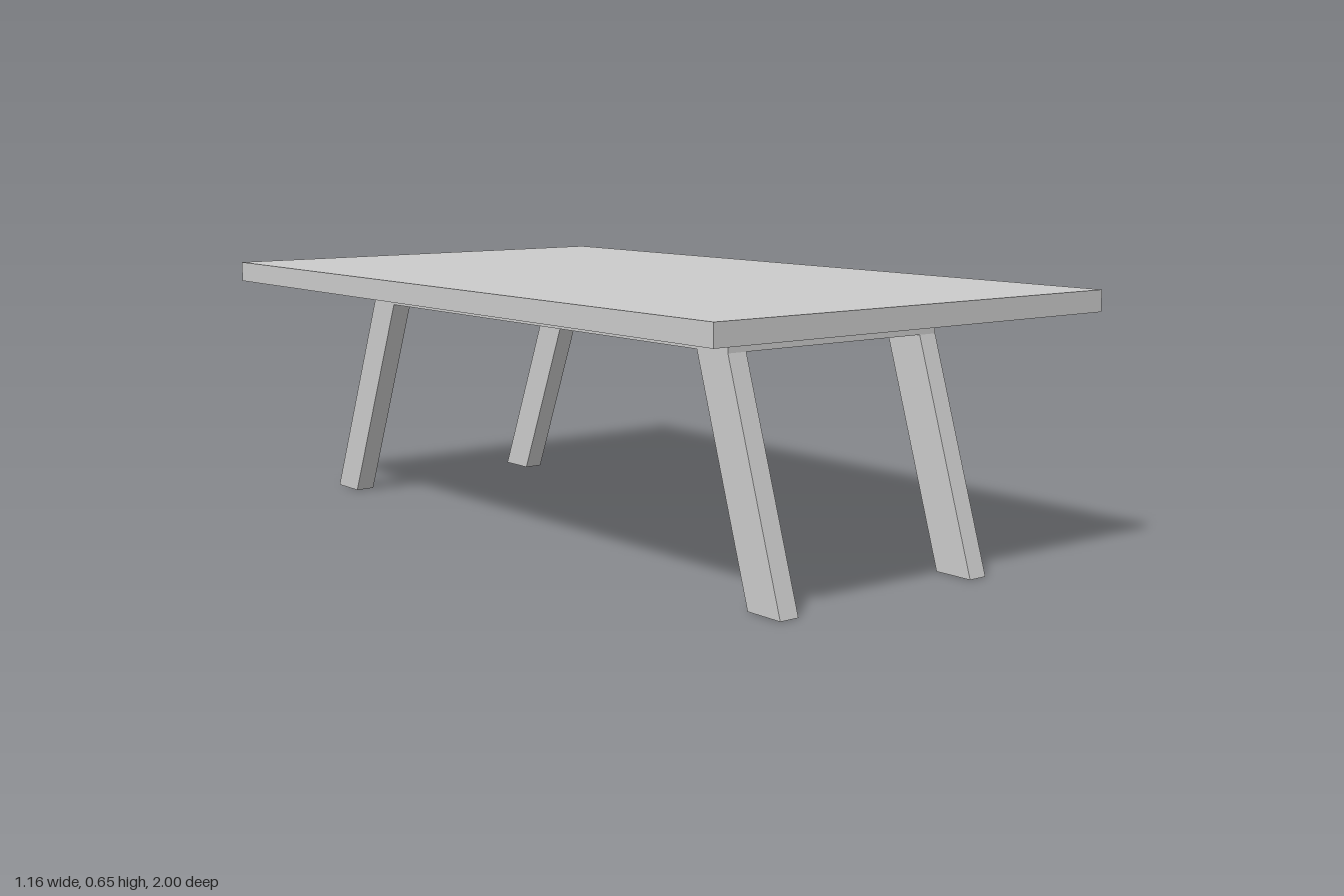
import * as THREE from 'three';

export function createModel() {
  const table = new THREE.Group();
  table.name = 'table';
  const material = new THREE.MeshStandardMaterial({ color: 0xcccccc, flatShading: true });

  const legTop = 0.542, frameTop = 0.596, height = 0.647;
  const halfFrameX = 0.315, halfFrameZ = 0.737;
  const legWidth = 0.051, legDepth = 0.102;

  function addBox(name, width, depth, bottom, top) {
    const mesh = new THREE.Mesh(new THREE.BoxGeometry(width, top - bottom, depth), material);
    mesh.position.y = (bottom + top) / 2;
    mesh.name = name;
    table.add(mesh);
  }

  // Table top and the solid panel beneath it
  addBox('tableTop', 1.157, 2, frameTop, height);
  addBox('underPanel', halfFrameX * 2, halfFrameZ * 2, legTop, frameTop);

  // Sheared legs: the foot is shifted outward along z, more so at the back
  function addLeg(name, sideX, sideZ, splay) {
    const geometry = new THREE.BoxGeometry(legWidth, legTop, legDepth);
    const pos = geometry.attributes.position;
    for (let i = 0; i < pos.count; i++) {
      if (pos.getY(i) < 0) pos.setZ(i, pos.getZ(i) + sideZ * splay);
    }
    geometry.computeVertexNormals();
    const leg = new THREE.Mesh(geometry, material);
    leg.position.set(sideX * (halfFrameX - legWidth / 2), legTop / 2, sideZ * (halfFrameZ - legDepth / 2));
    leg.name = name;
    table.add(leg);
  }
  for (const [side, x] of [['Left', 1], ['Right', -1]]) {
    addLeg('front' + side + 'Leg', x, 1, 0.172);
    addLeg('back' + side + 'Leg', x, -1, 0.223);
  }

  return table;
}
